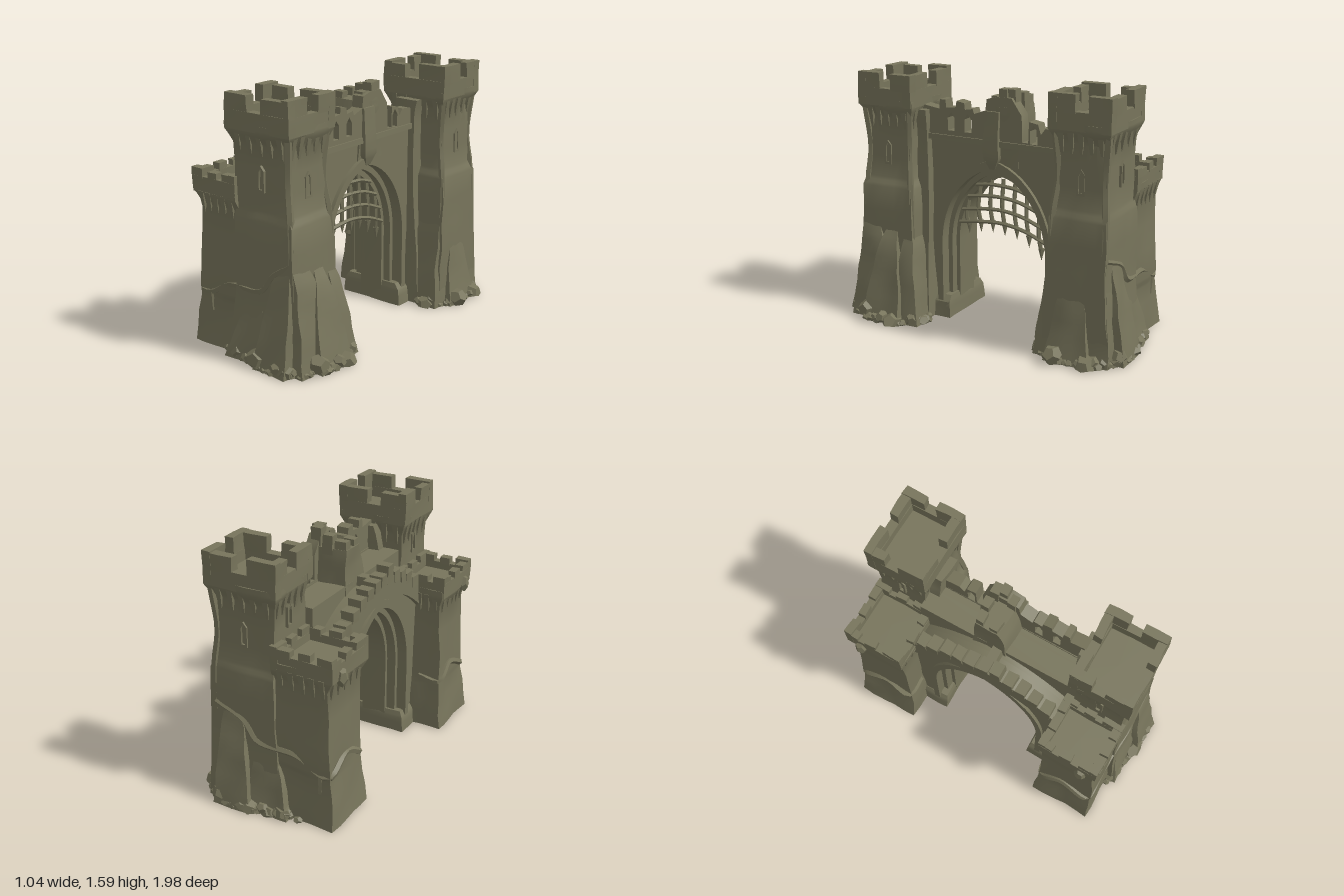
import * as THREE from 'three';
import { toCreasedNormals } from 'three/addons/utils/BufferGeometryUtils.js';

const stone = new THREE.MeshStandardMaterial({ color: 0x77745b });
stone.name = 'mossy stone';

let seed = 7;
const rand = () => (seed = (seed * 16807) % 2147483647) / 2147483647;
const wobble = (a, b, c) => Math.sin(a * 17 + b * 9 + 1) * Math.sin(b * 13 - c * 11) + 0.6 * Math.sin(c * 23 + a * 19 + b * 5);

function add(parent, name, geo) {
  const mesh = new THREE.Mesh(toCreasedNormals(geo, 0.6), stone);
  mesh.name = name;
  parent.add(mesh);
  return mesh;
}

// Weathered block lofted through rectangular sections [y, x0, x1, z0, z1]
function loft(sections, amp = 0.007, n = 5, steps = 3) {
  const rows = [];
  sections.forEach((s, i) => {
    if (i) for (let k = 1; k < steps; k++) rows.push(s.map((v, j) => THREE.MathUtils.lerp(sections[i - 1][j], v, k / steps)));
    rows.push(s);
  });
  const pos = [], idx = [], m = n * 4;
  for (const [y, x0, x1, za, zb] of rows) {
    const z0 = Math.min(za, zb), z1 = Math.max(za, zb);
    const c = [[x0, z0], [x0, z1], [x1, z1], [x1, z0]];
    for (let i = 0; i < m; i++) {
      const a = c[Math.floor(i / n)], b = c[(Math.floor(i / n) + 1) % 4], t = (i % n) / n;
      const x = a[0] + (b[0] - a[0]) * t, z = a[1] + (b[1] - a[1]) * t;
      pos.push(x + amp * wobble(x, y, z), y, z + amp * wobble(z + 2, y, x));
    }
  }
  const last = (rows.length - 1) * m;
  for (let j = 0; j < rows.length - 1; j++) for (let i = 0; i < m; i++) {
    const a = j * m + i, b = j * m + (i + 1) % m;
    idx.push(a, b, b + m, a, b + m, a + m);
  }
  for (const [row, up] of [[0, false], [last, true]]) {
    const s = rows[row / m], c = pos.length / 3;
    pos.push((s[1] + s[2]) / 2, s[0], (s[3] + s[4]) / 2);
    for (let i = 0; i < m; i++) {
      const a = row + i, b = row + (i + 1) % m;
      idx.push(c, up ? a : b, up ? b : a);
    }
  }
  const g = new THREE.BufferGeometry();
  g.setAttribute('position', new THREE.Float32BufferAttribute(pos, 3));
  g.setIndex(idx);
  return g.toNonIndexed();
}
const block = (x0, x1, y0, y1, z0, z1, amp = 0.005) => loft([[y0, x0, x1, z0, z1], [y1, x0, x1, z0, z1]], amp, 2, 2);

// Outline given as [z, y], extruded from x0 to x1
function slab(pts, x0, x1, holes = []) {
  const shape = new THREE.Shape(pts.map(p => new THREE.Vector2(...p)));
  holes.forEach(h => shape.holes.push(new THREE.Path(h.map(p => new THREE.Vector2(...p)))));
  const g = new THREE.ExtrudeGeometry(shape, { depth: x1 - x0, bevelEnabled: false });
  return g.rotateY(-Math.PI / 2).translate(x1, 0, 0);
}
const tube = (pts, r, seg = 12, sides = 5) => new THREE.TubeGeometry(new THREE.CatmullRomCurve3(pts.map(p => new THREE.Vector3(...p))), seg, r, sides);

// Boulder with a flat underside at ground level
function rock(x, y, z, sx, sy, sz) {
  const g = new THREE.DodecahedronGeometry(1).rotateY(rand() * 6).rotateX(rand() * 6).scale(sx, sy, sz).translate(x, y, z);
  const p = g.attributes.position;
  for (let i = 0; i < p.count; i++) p.setY(i, Math.max(0, p.getY(i)));
  return g;
}

// Pointed arch from the right foot to the left foot
const SPRING = 0.5;
function arch(hw, peak) {
  const pts = [[hw, 0]];
  for (let i = 0; i <= 24; i++) {
    const t = Math.PI * i / 24, u = Math.min(t, Math.PI - t);
    pts.push([hw * Math.cos(t), SPRING + (peak - SPRING) * (0.78 * Math.sin(u) + 0.22 * u / (Math.PI / 2))]);
  }
  pts.push([-hw, 0]);
  return pts;
}
const hump = (z, low, high) => high - (high - low) * (z / 0.5) ** 2;
const humpLine = (low, high) => Array.from({ length: 17 }, (_, i) => -0.52 + 0.065 * i).map(z => [z, hump(z, low, high)]);

// Crenellated parapet around a rectangle
function parapet(g, x0, x1, z0, z1, y0, y1, y2, t, teeth) {
  for (const [a, b] of [[x0, x0 + t], [x1 - t, x1]]) {
    add(g, 'parapetWall', block(a, b, y0, y1, z0, z1, 0.004));
    teeth.forEach(([f, e]) => add(g, 'merlon', block(a, b, y1 - 0.01, y2 - rand() * 0.02, z0 + (z1 - z0) * f, z0 + (z1 - z0) * e)));
  }
  for (const [a, b] of [[z0, z0 + t], [z1 - t, z1]]) {
    add(g, 'parapetWall', block(x0, x1, y0, y1, a, b, 0.004));
    teeth.forEach(([f, e]) => add(g, 'merlon', block(x0 + (x1 - x0) * f, x0 + (x1 - x0) * e, y1 - 0.01, y2 - rand() * 0.02, a, b)));
  }
}

// Wedge brackets under a parapet, widening upward
function corbels(g, x0, x1, z0, z1, y0, y1, out, count) {
  for (let i = 0; i < count; i++) {
    const f = (i + 0.5) / count, x = x0 + (x1 - x0) * f, z = z0 + (z1 - z0) * f, w = 0.02;
    const span = (e, d, o) => [Math.min(e - 0.02 * d, e + o * d), Math.max(e - 0.02 * d, e + o * d)];
    for (const [e, d] of [[z0, -1], [z1, 1]])
      add(g, 'corbel', loft([[y0, x - w * 0.4, x + w * 0.4, ...span(e, d, 0.004)], [y1, x - w, x + w, ...span(e, d, out)]], 0.002, 1, 2));
    for (const [e, d] of [[x0, -1], [x1, 1]])
      add(g, 'corbel', loft([[y0, ...span(e, d, 0.004), z - w * 0.4, z + w * 0.4], [y1, ...span(e, d, out), z - w, z + w]], 0.002, 1, 2));
  }
}

// Arrow slit frame facing +x, then turned and placed
function slit(g, x, y, z, turn) {
  const o = [[-0.026, -0.075], [0.026, -0.075], [0.026, 0.05], [0, 0.08], [-0.026, 0.05]];
  const m = add(g, 'arrowSlit', slab(o, -0.01, 0.01, [o.map(([a, b]) => [a * 0.5, b * 0.8])]));
  m.position.set(x, y, z);
  m.rotation.y = turn;
}

function towerPair(name, s, dx) {
  const g = new THREE.Group();
  g.name = name;
  const L = (...rows) => loft(rows.map(([y, a, b, c, d]) => [y, a, b, c * s, d * s]));
  const order = (a, b) => (s > 0 ? [a, b] : [-b, -a]);
  const h = dx, lx = dx * 0.35, e = 0.3 + h, lowEnd = -0.115 + h;
  // Tall tower
  add(g, 'tallTower', L([0, -0.17 + h, 0.36 + h * 0.5, 0.475, 0.91], [0.4, -0.14 + h, 0.32 + h, 0.49, 0.875], [0.86, -0.14 + h, 0.305 + h, 0.5, 0.865],
    [0.92, -0.13 + h, 0.28 + h, 0.525, 0.85], [1.3, -0.13 + h, 0.265 + h, 0.53, 0.845], [1.38, -0.165 + h, 0.305 + h, 0.495, 0.885], [1.42, -0.165 + h, 0.305 + h, 0.495, 0.885]));
  corbels(g, -0.13 + h, 0.265 + h, ...order(0.53, 0.845), 1.24, 1.38, 0.034, 5);
  parapet(g, -0.168 + h, 0.308 + h, ...order(0.495, 0.885), 1.38, 1.49, 1.59, 0.055, [[0, 0.36], [0.58, 1]]);
  // Low tower
  add(g, 'lowTower', L([0, -0.475 + lx, lowEnd, 0.475, 0.88], [0.3, -0.44 + lx, lowEnd, 0.49, 0.855], [0.36, -0.44 + lx, lowEnd, 0.495, 0.865],
    [0.88, -0.43 + lx, lowEnd, 0.505, 0.845], [0.95, -0.465 + lx, lowEnd, 0.48, 0.87], [1.0, -0.465 + lx, lowEnd, 0.48, 0.87]));
  corbels(g, -0.43 + lx, -0.14 + h, ...order(0.505, 0.845), 0.83, 0.96, 0.03, 5);
  parapet(g, -0.47 + lx, lowEnd, ...order(0.48, 0.872), 0.95, 1.05, 1.1, 0.05, [[0, 0.24], [0.36, 0.55], [0.68, 1]]);
  slit(g, 0.07 + h, 1.11, 0.85 * s, -s * Math.PI / 2);
  slit(g, 0.272 + h, 1.08, 0.69 * s, 0);
  slit(g, 0.07 + h, 1.11, 0.525 * s, s * Math.PI / 2);
  slit(g, -0.13 + h, 1.22, 0.69 * s, Math.PI);
  // Broken plaster edges
  add(g, 'brokenLedge', tube([[-0.3 + lx, 0.36, 0.5 * s], [-0.435 + lx, 0.34, 0.51 * s], [-0.435 + lx, 0.42, 0.66 * s], [-0.435 + lx, 0.34, 0.845 * s], [-0.35, 0.34, 0.852 * s], [-0.2, 0.42, 0.85 * s], [0.07, 0.45, 0.865 * s], [0.16, 0.56, 0.862 * s], [0.28 + h, 0.64, 0.857 * s]], 0.022, 40));
  add(g, 'brokenLedge', tube([[-0.35, 0.34, 0.855 * s], [-0.35, 0.27, 0.852 * s], [-0.345, 0.22, 0.85 * s]], 0.018));
  add(g, 'outerLump', rock(-0.47 + lx, 0.96, 0.77 * s, 0.035, 0.06, 0.04));
  // Rock buttresses leaning on the base
  add(g, 'buttress', L([0, 0.08, 0.33, 0.8, 0.98], [0.3, 0.12, 0.32, 0.8, 0.925], [0.52, 0.16, 0.3, 0.8, 0.885], [0.62, 0.2, 0.28, 0.8, 0.86]));
  add(g, 'buttress', L([0, 0.2, 0.41, 0.6, 0.91], [0.25, 0.2, 0.385, 0.64, 0.89], [0.5, 0.2, 0.345 + h * 0.4, 0.7, 0.87], [0.64, 0.2, e, 0.76, 0.86]));
  add(g, 'buttress', L([0, 0.2, 0.46, 0.52, 0.8], [0.25, 0.2, 0.41, 0.55, 0.77], [0.5, 0.2, 0.35 + h * 0.4, 0.6, 0.72], [0.62, 0.2, e, 0.62, 0.7]));
  add(g, 'buttress', L([0, 0.2, 0.41, 0.42, 0.62], [0.25, 0.2, 0.38, 0.45, 0.6], [0.48, 0.2, 0.335 + h * 0.5, 0.48, 0.57], [0.58, 0.2, e, 0.5, 0.55]));
  add(g, 'buttress', L([0, -0.17, 0.12, 0.8, 0.935], [0.25, -0.1, 0.1, 0.8, 0.89], [0.4, -0.04, 0.08, 0.8, 0.87]));
  // Weathered ribs running up the corners
  add(g, 'cornerRib', tube([[e - 0.015, 0.5, 0.85 * s], [e - 0.02, 0.88, 0.85 * s], [0.255 + h, 1.1, 0.835 * s], [0.275 + h, 1.36, 0.855 * s]], 0.024));
  add(g, 'cornerRib', tube([[e - 0.015, 0.5, 0.515 * s], [e - 0.015, 0.88, 0.52 * s], [0.255 + h, 1.1, 0.54 * s], [0.275 + h, 1.36, 0.525 * s]], 0.022));
  // Rubble following the rounded foot
  const foot = new THREE.CatmullRomCurve3([[-0.2, 0.9], [0, 0.94], [0.2, 0.97], [0.36, 0.92], [0.43, 0.8], [0.45, 0.65], [0.41, 0.5], [0.28, 0.42]].map(([x, z]) => new THREE.Vector3(x, 0, z)));
  foot.getSpacedPoints(40).forEach((p, i) => {
    const r = (i % 7 === 3 ? 0.045 : 0.02) + rand() * 0.022;
    add(g, 'rubble', rock(p.x + (rand() - 0.5) * 0.03, 0.005 + r * rand(), p.z * s - s * r * 0.4, r * 1.2, r, r));
  });
  return g;
}

function gateWall() {
  const g = new THREE.Group();
  g.name = 'gateWall';
  // Stepped arch layers, humped on the left and flat under the right walkway
  for (const [x0, x1, hw, peak, flat] of [[-0.25, -0.2, 0.375, 1.03], [-0.2, -0.14, 0.345, 0.99], [-0.14, -0.11, 0.32, 0.95], [-0.11, 0.03, 0.32, 0.95, 1], [0.03, 0.08, 0.345, 0.99, 1], [0.08, 0.135, 0.375, 1.03, 1]]) {
    const top = flat ? [[-0.53, 1.2], [0.53, 1.2]] : humpLine(0.96, 1.16);
    add(g, 'archWall', slab([[-0.53, 0], ...top, [0.53, 0], ...arch(hw, peak)], x0, x1));
  }
  for (const [x0, x1] of [[0.12, 0.16], [-0.27, -0.24]])
    add(g, 'hoodMoulding', slab([...arch(0.41, 1.085), ...arch(0.37, 1.03).reverse()], x0, x1));
  for (const s of [1, -1]) {
    add(g, 'pierPlinth', loft([[0, -0.28, 0.18, 0.315 * s, 0.5 * s], [0.1, -0.27, 0.165, 0.32 * s, 0.5 * s], [0.14, -0.25, 0.13, 0.33 * s, 0.5 * s]], 0.004));
    add(g, 'pilaster', loft([[0, 0, 0.25, 0.42 * s, 0.55 * s], [0.5, 0, 0.2, 0.45 * s, 0.55 * s], [1.2, 0, 0.18, 0.46 * s, 0.55 * s], [1.36, 0.04, 0.2, 0.45 * s, 0.55 * s]]));
  }
  // Humped left parapet with small merlons
  add(g, 'leftParapet', slab([...humpLine(0.87, 1.09), ...humpLine(1.01, 1.22).reverse()], -0.285, -0.205));
  for (let i = -5; i <= 5; i++) {
    const z = i * 0.085, y = hump(z, 1.01, 1.22);
    add(g, 'leftMerlon', block(-0.29, -0.205, y - 0.04, y + 0.03 + (i === 1 ? 0.045 : 0), z - 0.034, z + 0.034));
  }
  // Ruined right parapet with pointed windows
  const win = (z, y) => [[z - 0.025, y], [z + 0.025, y], [z + 0.025, y + 0.08], [z, y + 0.115], [z - 0.025, y + 0.08]];
  add(g, 'rightParapet', slab([[0.52, 1.18], [0.52, 1.39], [0.38, 1.37], [0.375, 1.43], [0.335, 1.43], [0.33, 1.38], [0.26, 1.39], [0.255, 1.43], [0.2, 1.42], [0.195, 1.38], [0.14, 1.39],
    [0.13, 1.36], [0.05, 1.39], [0.04, 1.46], [-0.03, 1.48], [-0.13, 1.48], [-0.2, 1.38], [-0.205, 1.22], [-0.245, 1.22], [-0.25, 1.35], [-0.31, 1.34], [-0.33, 1.28], [-0.36, 1.32], [-0.52, 1.3], [-0.52, 1.18]],
    0.075, 0.155, [win(0.295, 1.24), win(0.175, 1.24), win(-0.282, 1.215)]));
  add(g, 'cornice', block(0.07, 0.165, 1.175, 1.21, -0.5, 0.5));
  // Central turret above the arch
  add(g, 'turret', loft([[1.05, -0.12, 0.14, -0.17, 0.08], [1.3, -0.11, 0.15, -0.16, 0.05], [1.42, -0.11, 0.155, -0.15, 0.01]]));
  add(g, 'turretStep', loft([[1.0, -0.21, -0.1, -0.04, 0.07], [1.22, -0.21, -0.1, -0.02, 0.04]], 0.004));
  for (const [x, z, y] of [[-0.07, -0.12, 1.47], [0.01, -0.13, 1.5], [0.1, -0.12, 1.53], [0.12, -0.07, 1.53], [0.1, -0.01, 1.48], [-0.07, -0.02, 1.46]])
    add(g, 'turretStone', block(x - 0.035, x + 0.035, 1.38, y, z - 0.027, z + 0.027));
  add(g, 'keystoneCorbel', loft([[1.03, 0.1, 0.16, -0.02, 0.02], [1.1, 0.1, 0.18, -0.055, 0.055], [1.2, 0.1, 0.185, -0.055, 0.055], [1.39, 0.1, 0.17, -0.05, 0.05]], 0.004));
  return g;
}

// Bent portcullis with spiked bars
function portcullis() {
  const g = new THREE.Group();
  g.name = 'portcullis';
  const x = 0.02, half = y => 0.33 * Math.sqrt(Math.max(0, 1 - ((y - SPRING) / 0.46) ** 2));
  const sag = z => -0.5 * Math.max(0, -z - 0.05) ** 1.3 - 0.15 * Math.max(0, z - 0.1);
  [0.55, 0.57, 0.58, 0.57, 0.56, 0.52, 0.45].forEach((low, i) => {
    const z = 0.26 - i * 0.087, top = SPRING + 0.44 * Math.sqrt(1 - (z / 0.33) ** 2);
    add(g, 'verticalBar', tube([[x, low + 0.05, z - 0.01], [x + 0.01, (low + top) / 2, z + 0.004], [x, top, z * 0.97]], 0.014));
    add(g, 'spike', new THREE.ConeGeometry(0.021, 0.08, 5).rotateX(Math.PI).translate(x, low + 0.035, z - 0.01));
  });
  for (const y of [0.65, 0.735, 0.82, 0.895]) {
    const w = half(y - 0.02);
    add(g, 'crossBar', tube([1, 0.5, 0, -0.5, -1].map(f => [x + 0.012, y + sag(f * w), f * w]), 0.013, 16));
  }
  return g;
}

export function createModel() {
  const model = new THREE.Group();
  model.name = 'ruinedGatehouse';
  model.add(towerPair('frontTowers', 1, 0), towerPair('backTowers', -1, 0.075), gateWall(), portcullis());
  return model;
}
